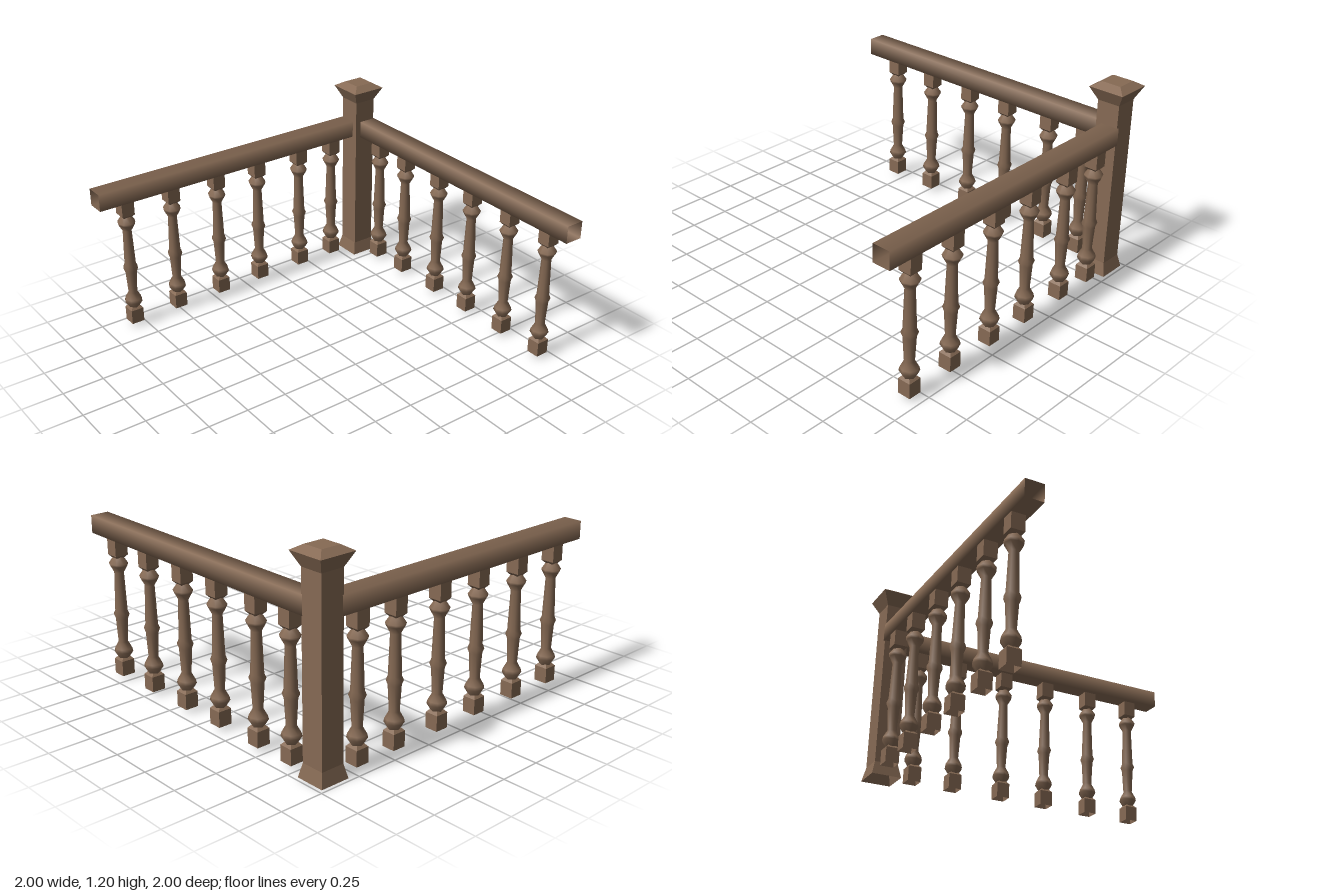
import * as THREE from 'three';

const wood = new THREE.MeshStandardMaterial({ color: 0x866a54, side: THREE.DoubleSide });
wood.name = 'brownWood';

const points = (profile, scale = 1) => profile.map(([r, y]) => new THREE.Vector2(r * scale, y));

// Square section with crisp edges; profile is [half width, height] from bottom to top
function squareTurned(profile) {
  const g = new THREE.LatheGeometry(points(profile, Math.SQRT2), 4, Math.PI / 4).toNonIndexed();
  g.computeVertexNormals();
  return g;
}

function addMesh(parent, geometry, name) {
  const mesh = new THREE.Mesh(geometry, wood);
  mesh.name = name;
  parent.add(mesh);
  return mesh;
}

// Baluster parts: open square foot and head, eight-sided turned spindle
const footGeometry = squareTurned([[0.04, 0.025], [0.04, 0.115], [0.022, 0.135]]);
const headGeometry = squareTurned([[0.022, 0.735], [0.04, 0.755], [0.04, 0.855]]);
const spindleGeometry = new THREE.LatheGeometry(points([
  [0.03, 0.125], [0.055, 0.165], [0.05, 0.185], [0.028, 0.225],
  [0.036, 0.37], [0.046, 0.395], [0.036, 0.42],
  [0.028, 0.65], [0.05, 0.69], [0.055, 0.705], [0.028, 0.745],
]), 8);

function createBaluster(x, z) {
  const baluster = new THREE.Group();
  baluster.name = 'baluster';
  addMesh(baluster, footGeometry, 'balusterFoot');
  addMesh(baluster, spindleGeometry, 'balusterSpindle');
  addMesh(baluster, headGeometry, 'balusterHead');
  baluster.position.set(x, 0, z);
  return baluster;
}

// Hollow rail with softened shading, running along +z from the post
function createRailGeometry(start, end) {
  const g = new THREE.CylinderGeometry(1, 1, end - start, 4, 1, true);
  g.rotateY(Math.PI / 4);
  g.rotateX(Math.PI / 2);
  g.scale(0.055 * Math.SQRT2, 0.0525 * Math.SQRT2, 1);
  g.translate(0, 0, (start + end) / 2);
  return g;
}

export function createModel() {
  const model = new THREE.Group();
  model.name = 'cornerBalustrade';

  // Corner post with flared foot and cap
  const post = new THREE.Group();
  post.name = 'cornerPost';
  post.position.set(-0.89, 0, -0.89);
  addMesh(post, squareTurned([[0.088, 0], [0.07, 0.08], [0.07, 1.09]]), 'postShaft');
  addMesh(post, squareTurned([[0.07, 1.09], [0.11, 1.17], [0.06, 1.2], [0, 1.2]]), 'postCap');
  model.add(post);

  // Two rails meeting at the post
  const railGeometry = createRailGeometry(-0.83, 1);
  const sideRail = addMesh(model, railGeometry, 'sideRail');
  sideRail.position.set(-0.91, 0.9025, 0);
  const backRail = addMesh(model, railGeometry, 'backRail');
  backRail.rotation.y = Math.PI / 2;
  backRail.position.set(0, 0.9025, -0.91);

  // Balusters under both rails
  for (const t of [-0.69, -0.43, -0.11, 0.188, 0.505, 0.812]) {
    model.add(createBaluster(t, -0.92), createBaluster(-0.92, t));
  }
  return model;
}
